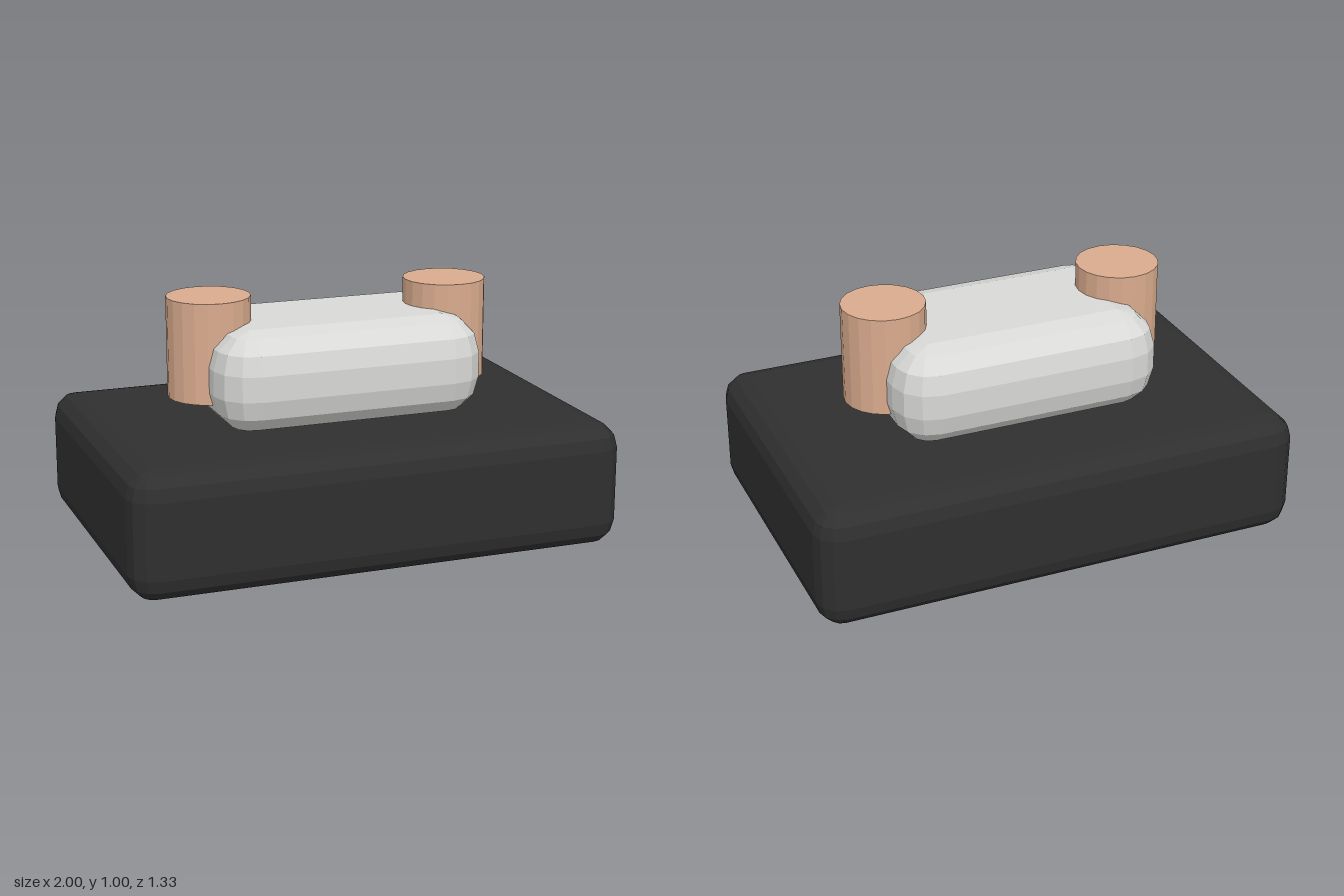
import * as THREE from 'three';
import { ConvexGeometry } from 'three/addons/geometries/ConvexGeometry.js';

// Box with faceted round edges: hull of an eighth of a sphere at each corner
function roundedBox(w, h, d, r, segments = 3) {
  const points = [];
  for (const sx of [-1, 1]) for (const sy of [-1, 1]) for (const sz of [-1, 1]) {
    for (let j = 0; j <= segments; j++) {
      const lat = (j / segments) * Math.PI / 2;
      const steps = j === segments ? 0 : segments;
      for (let i = 0; i <= steps; i++) {
        const lon = (i / segments) * Math.PI / 2;
        points.push(new THREE.Vector3(
          sx * (w / 2 - r + r * Math.cos(lat) * Math.cos(lon)),
          sy * (h / 2 - r + r * Math.sin(lat)),
          sz * (d / 2 - r + r * Math.cos(lat) * Math.sin(lon))
        ));
      }
    }
  }
  return new ConvexGeometry(points);
}

export function createModel() {
  const group = new THREE.Group();
  const material = (name, color) => {
    const m = new THREE.MeshStandardMaterial({ color, flatShading: true });
    m.name = name;
    return m;
  };
  const black = material('black', 0x2f2f2f);
  const lightGrey = material('lightGrey', 0xd8d8d6);
  const tan = material('tan', 0xd9ab8d);

  const add = (name, geometry, mat, x, y) => {
    const mesh = new THREE.Mesh(geometry, mat);
    mesh.name = name;
    mesh.position.set(x, y, 0);
    group.add(mesh);
  };

  // Heavy base block
  add('base', roundedBox(2, 0.5, 1.333, 0.1), black, 0, 0.25);
  // Pale block resting on the base
  add('body', roundedBox(1.1, 0.4, 0.733, 0.15), lightGrey, 0, 0.7);
  // Upright pegs sunk into both ends of the body
  const peg = new THREE.CylinderGeometry(0.1667, 0.1667, 0.4, 20);
  add('leftPeg', peg, tan, 0.5, 0.8);
  add('rightPeg', peg, tan, -0.5, 0.8);

  return group;
}
